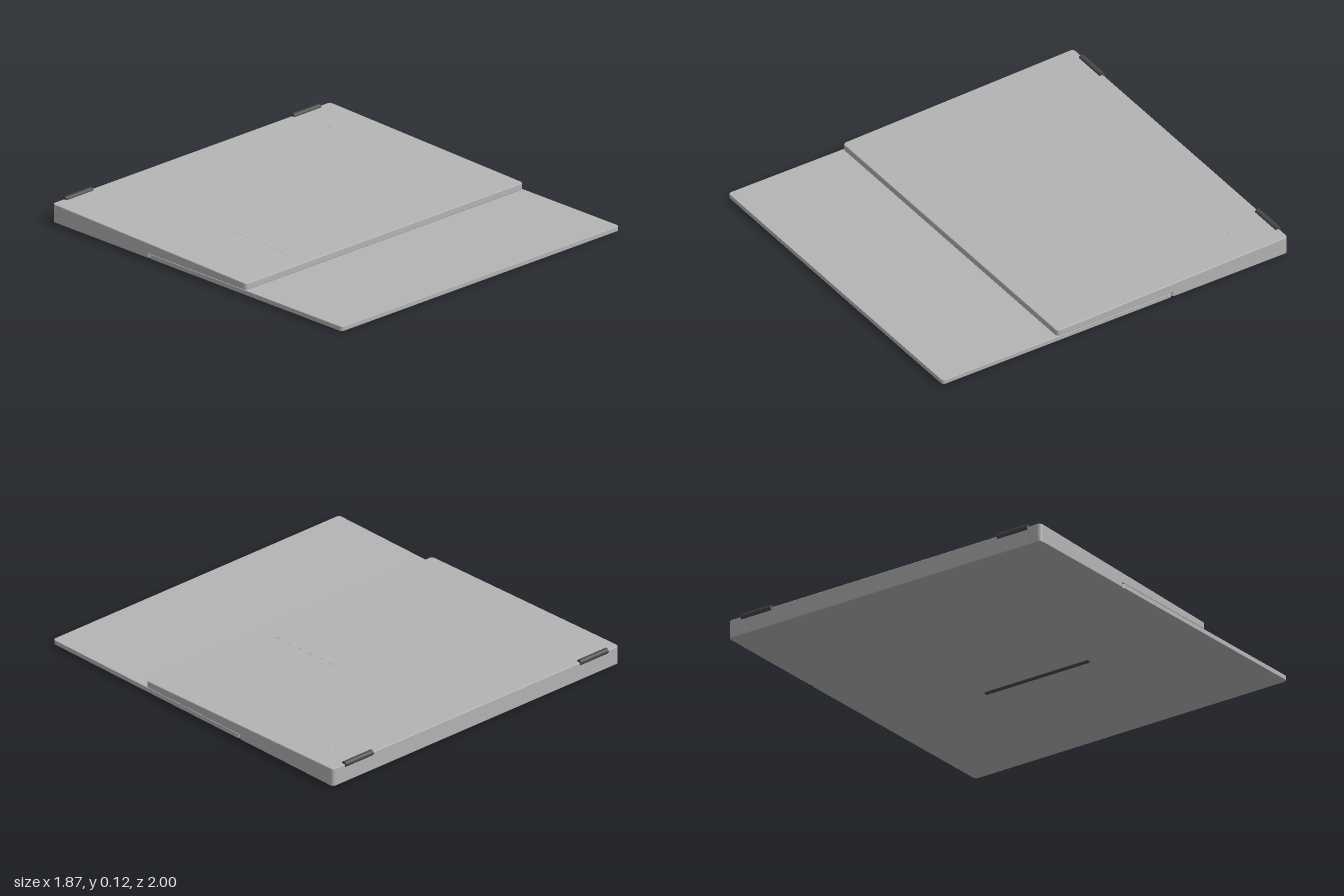
import * as THREE from 'three';

const shell = new THREE.MeshStandardMaterial({ color: 0xb4b4b4 });
shell.name = 'shellGrey';
const rubber = new THREE.MeshStandardMaterial({ color: 0x484848 });
rubber.name = 'darkGrey';

// Rounded slab lying flat between x0..x1, z0..z1, y0..y1, with a small edge bevel
function slab(x0, x1, z0, z1, y0, y1, radius, bevel) {
  const a = x0 + bevel, b = x1 - bevel, c = -z1 + bevel, d = -z0 - bevel, r = radius;
  const s = new THREE.Shape();
  s.moveTo(a + r, c);
  s.lineTo(b - r, c);
  s.absarc(b - r, c + r, r, -Math.PI / 2, 0);
  s.lineTo(b, d - r);
  s.absarc(b - r, d - r, r, 0, Math.PI / 2);
  s.lineTo(a + r, d);
  s.absarc(a + r, d - r, r, Math.PI / 2, Math.PI);
  s.lineTo(a, c + r);
  s.absarc(a + r, c + r, r, Math.PI, Math.PI * 1.5);
  const g = new THREE.ExtrudeGeometry(s, {
    depth: y1 - y0 - 2 * bevel, curveSegments: 6,
    bevelEnabled: bevel > 0, bevelSize: bevel, bevelThickness: bevel, bevelSegments: 2,
  });
  g.rotateX(-Math.PI / 2);
  g.translate(0, y0 + bevel, 0);
  return g;
}

// Height of the sloping deck at a given z
const deckY = (z) => THREE.MathUtils.lerp(0.105, 0.069, (z + 0.99) / 1.33);

// Lift every vertex above the split height so it follows the deck slope
function followDeck(g, split, top) {
  const p = g.attributes.position;
  for (let i = 0; i < p.count; i++) {
    if (p.getY(i) > split) p.setY(i, p.getY(i) - top + deckY(p.getZ(i)));
  }
  g.computeVertexNormals();
  return g;
}

export function createModel() {
  const model = new THREE.Group();
  const add = (name, geometry, material) => {
    const mesh = new THREE.Mesh(geometry, material);
    mesh.name = name;
    model.add(mesh);
    return mesh;
  };

  // Wedge body, thicker at the back
  add('wedgeBody', followDeck(slab(-0.935, 0.935, -0.99, 0.34, 0.034, 0.069, 0.016, 0.004), 0.05, 0.069), shell);
  add('rearUnderside', slab(-0.935, 0.935, -0.99, -0.32, 0.01, 0.04, 0.016, 0.003), shell);

  // Thin panel sliding out from under the body
  add('slidingPanel', slab(-0.935, 0.935, -0.325, 1, 0.01, 0.034, 0.016, 0.002), shell);

  // Nearly flush pad and round button on the deck
  add('touchPad', followDeck(slab(-0.53, 0.18, -0.18, 0.3, 0.065, 0.0695, 0.008, 0), 0, 0.069), shell);
  const button = new THREE.CylinderGeometry(0.035, 0.035, 0.004, 24);
  button.translate(0.745, 0.0675, -0.805);
  add('roundButton', followDeck(button, 0, 0.069), shell);

  // Hinge barrels on the back edge
  for (const [side, name] of [[1, 'leftHinge'], [-1, 'rightHinge']]) {
    const barrel = add(name, new THREE.CylinderGeometry(0.015, 0.015, 0.18, 16), rubber);
    barrel.rotation.z = Math.PI / 2;
    barrel.position.set(side * 0.767, 0.104, -0.985);
  }

  // Long rubber foot below
  const foot = add('footStrip', new THREE.CylinderGeometry(0.011, 0.011, 0.62, 12), rubber);
  foot.rotation.z = Math.PI / 2;
  foot.position.set(0, 0.011, 0.245);

  return model;
}
